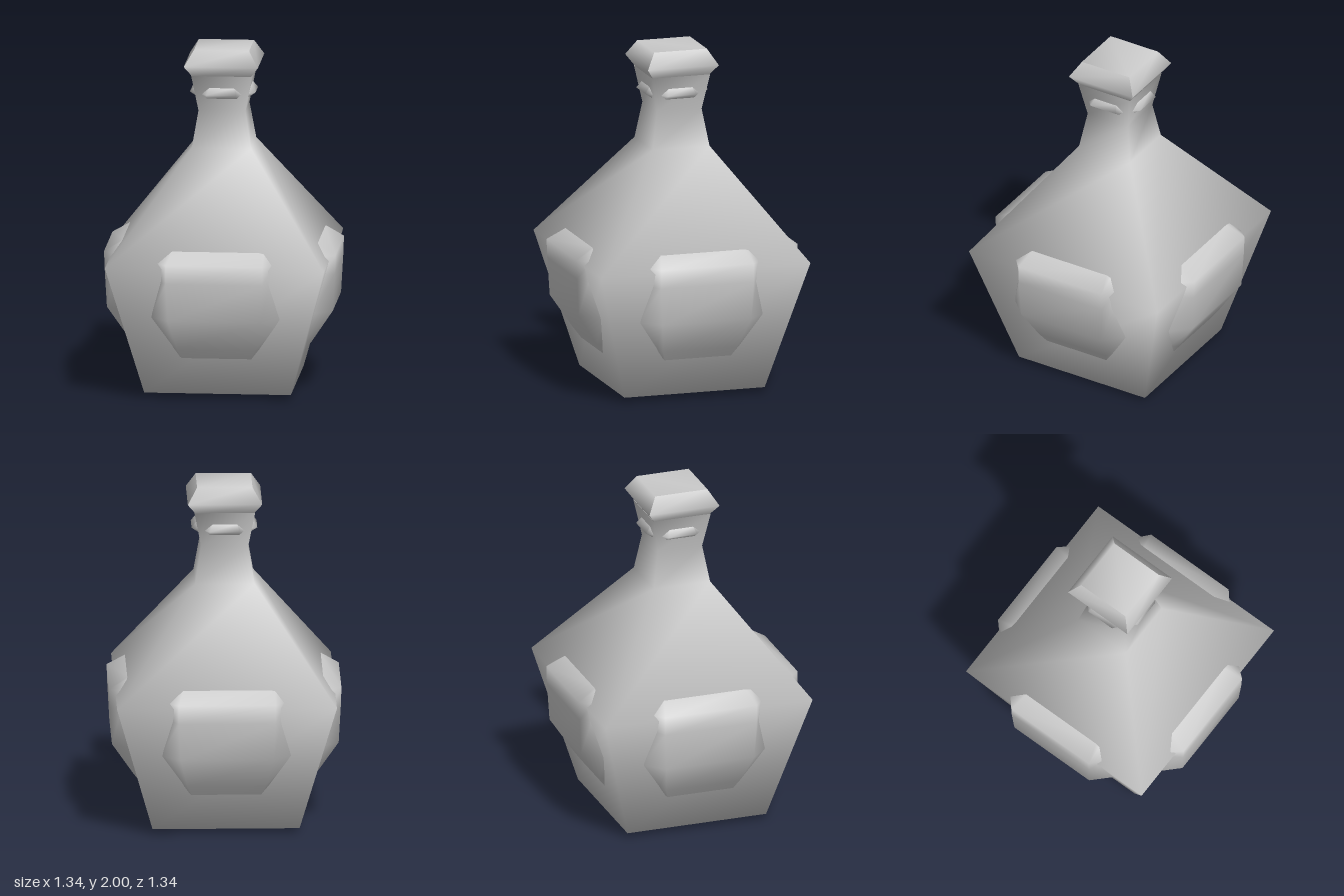
import * as THREE from 'three';

const material = new THREE.MeshStandardMaterial({ color: 0xcccccc, side: THREE.DoubleSide });

// Smooth skin over rows of points (rows run upward, columns run to +x on the front).
function skin(rows, closed = false, floor = false) {
  const n = rows[0].length;
  const index = [];
  for (let r = 0; r < rows.length - 1; r++) {
    for (let c = 0; c < (closed ? n : n - 1); c++) {
      const a = r * n + c, b = r * n + (c + 1) % n;
      index.push(a, b, b + n, a, b + n, a + n);
    }
  }
  if (floor) index.push(0, 3, 2, 0, 2, 1);
  const geometry = new THREE.BufferGeometry();
  geometry.setAttribute('position', new THREE.Float32BufferAttribute(rows.flat(2), 3));
  geometry.setIndex(index);
  geometry.computeVertexNormals();
  return geometry;
}

// Raised panel rows: [y, front z, front half width, rim z, rim half width]
const raised = rows => skin(rows.map(([y, z, w, rz, rw]) =>
  [[-rw, y, rz], [-w, y, z], [w, y, z], [rw, y, rz]]));

export function createModel() {
  const group = new THREE.Group();
  const add = (name, geometry, parent = group) => {
    const mesh = new THREE.Mesh(geometry, material);
    mesh.name = name;
    parent.add(mesh);
    return mesh;
  };

  // Square bottle body and neck: [height, half width]
  const profile = [[0.03, 0.425], [0.8, 0.635], [1.425, 0.172], [1.64, 0.136], [1.85, 0.175]];
  add('bottleBody', skin(profile.map(([y, h]) =>
    [[-h, y, h], [h, y, h], [h, y, -h], [-h, y, -h]]), true, true));

  // Stopper: a front-top-back band with a separate cheek on each side
  const cap = [[1.84, 0.165], [1.91, 0.215], [2, 0.16]];
  const band = [...cap.map(([y, h]) => [y, h, h]),
    ...cap.slice().reverse().map(([y, h]) => [y, h, -h])];
  const stopper = new THREE.Group();
  stopper.name = 'stopper';
  group.add(stopper);
  add('stopperBand', skin(band.map(([y, h, z]) => [[-h, y, z], [h, y, z]])), stopper);
  for (const s of [1, -1]) {
    add('stopperCheek', skin(cap.map(([y, h]) => [[s * h, y, s * h], [s * h, y, -s * h]])), stopper);
  }

  // Bulging panel and small neck ridge, repeated on all four sides
  const panel = raised([
    [0.25, 0.487, 0.2, 0.48, 0.21],
    [0.31, 0.53, 0.225, 0.49, 0.255],
    [0.5, 0.655, 0.27, 0.545, 0.38],
    [0.72, 0.667, 0.28, 0.605, 0.318],
    [0.83, 0.671, 0.28, 0.605, 0.337],
    [0.897, 0.56, 0.25, 0.555, 0.28],
  ]);
  const ridge = raised([
    [1.71, 0.145, 0.085, 0.14, 0.09],
    [1.74, 0.19, 0.085, 0.152, 0.117],
    [1.78, 0.16, 0.07, 0.155, 0.075],
  ]);
  for (let i = 0; i < 4; i++) {
    add('sidePanel', panel).rotation.y = i * Math.PI / 2;
    add('neckRidge', ridge).rotation.y = i * Math.PI / 2;
  }

  // Shallow eight-sided foot
  const foot = new THREE.CylinderGeometry(0.27, 0.22, 0.035, 8);
  foot.rotateY(Math.PI / 8);
  add('foot', foot).position.y = 0.0175;
  return group;
}
